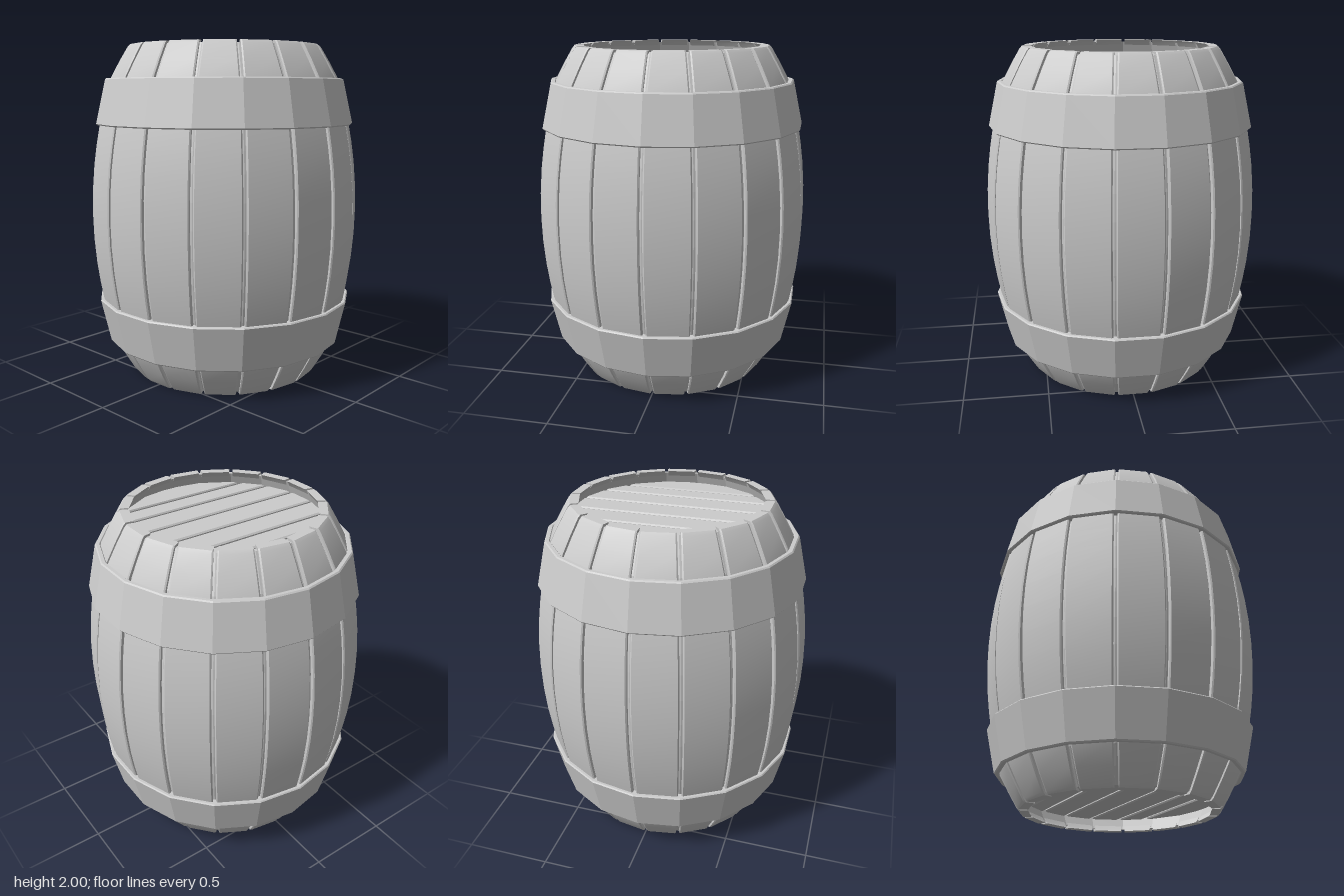
import * as THREE from 'three';
import { toCreasedNormals } from 'three/addons/utils/BufferGeometryUtils.js';

const STAVES = 18;
const HALF = Math.PI / STAVES;
const wood = new THREE.MeshStandardMaterial({ color: 0xcccccc });
const flat = new THREE.MeshStandardMaterial({ color: 0xcccccc, flatShading: true });
const flatOpen = new THREE.MeshStandardMaterial({ color: 0xcccccc, flatShading: true, side: THREE.DoubleSide });

// Bulge of the barrel: [height above the middle, corner radius]
const upper = [[0, 0.824], [0.15, 0.82], [0.3, 0.807], [0.42, 0.79], [0.54, 0.768],
  [0.67, 0.738], [0.8, 0.7], [0.9, 0.645], [0.985, 0.594], [1, 0.58]];
const profile = [...upper.slice(1).reverse().map(([t, r]) => [1 - t, r]),
  ...upper.map(([t, r]) => [1 + t, r])];

// One curved plank: a bevelled cross-section swept up the bulge
function staveGeometry() {
  const gap = 0.011, bevel = 0.007, n = 6;
  const pos = [], index = [];
  for (const [y, r] of profile) {
    const d = r * Math.cos(HALF), inner = d - 0.052;
    const w = d * Math.tan(HALF) - gap, wi = inner * Math.tan(HALF) - gap;
    pos.push(-w, y, d - bevel, -w + bevel, y, d, w - bevel, y, d,
      w, y, d - bevel, wi, y, inner, -wi, y, inner);
  }
  const last = (profile.length - 1) * n;
  for (let j = 0; j < last; j += n) {
    for (let i = 0; i < n; i++) {
      const a = j + i, b = j + (i + 1) % n;
      index.push(a, b, b + n, a, b + n, a + n);
    }
  }
  for (let i = 1; i < n - 1; i++) {
    index.push(last, last + i, last + i + 1, 0, i + 1, i);
  }
  const geo = new THREE.BufferGeometry();
  geo.setAttribute('position', new THREE.Float32BufferAttribute(pos, 3));
  geo.setIndex(index);
  return toCreasedNormals(geo, 0.5);
}

// Faceted ring with its corners on the gaps between staves
function lathe(points, material, name) {
  const pts = points.map(([r, y]) => new THREE.Vector2(r, y));
  const mesh = new THREE.Mesh(new THREE.LatheGeometry(pts, STAVES, HALF, Math.PI * 2), material);
  mesh.name = name;
  return mesh;
}

// Board of the round lid between two x positions, bevelled along its edges
function boardGeometry(x0, x1) {
  const R = 0.59, bevel = 0.008, steps = 6;
  const a = x0 + 0.009 + bevel, b = x1 - 0.009 - bevel;
  const near = [], far = [];
  for (let i = 0; i <= steps; i++) {
    const x = a + (b - a) * i / steps;
    const z = Math.sqrt(Math.max(0.0004, R * R - x * x));
    near.push(new THREE.Vector2(x, -z));
    far.unshift(new THREE.Vector2(x, z));
  }
  const geo = new THREE.ExtrudeGeometry(new THREE.Shape([...near, ...far]), {
    depth: 0.02, bevelEnabled: true, bevelSize: bevel, bevelThickness: bevel, bevelSegments: 1,
  });
  return geo.rotateX(-Math.PI / 2).translate(0, 1.92 - 0.02 - bevel, 0);
}

// Lid and hoop of the upper end
function createEnd(label) {
  const end = new THREE.Group();
  end.name = label + 'End';
  const cuts = [-0.58, -0.396, -0.261, -0.09, 0.09, 0.261, 0.396, 0.58];
  for (let i = 0; i < cuts.length - 1; i++) {
    const board = new THREE.Mesh(boardGeometry(cuts[i], cuts[i + 1]), flat);
    board.name = label + 'LidBoard' + (i + 1);
    end.add(board);
  }
  end.add(lathe([[0.735, 1.53], [0.784, 1.53], [0.79, 1.537], [0.731, 1.795], [0.724, 1.802],
    [0.705, 1.802], [0.685, 1.78], [0.735, 1.53]], flat, label + 'Hoop'));
  return end;
}

export function createModel() {
  const barrel = new THREE.Group();
  barrel.name = 'barrel';

  // Staves all round, a gap on each side
  const geo = staveGeometry();
  const staves = new THREE.Group();
  staves.name = 'staves';
  for (let i = 0; i < STAVES; i++) {
    const stave = new THREE.Mesh(geo, wood);
    stave.name = 'stave' + (i + 1);
    stave.rotation.y = i * 2 * HALF;
    staves.add(stave);
  }
  barrel.add(staves);

  // Core that forms the bottom of the grooves and backs the lids
  const wall = profile.slice(1, -1).map(([y, r]) => [r - 0.025, y]);
  barrel.add(lathe([[0, 0.1], [0.58, 0.1], [0.545, 0.015], ...wall,
    [0.545, 1.985], [0.58, 1.9], [0, 1.9]], flatOpen, 'core'));

  // Matching ends
  const top = createEnd('top');
  const bottom = createEnd('bottom');
  bottom.rotation.z = Math.PI;
  bottom.position.y = 2;
  barrel.add(top, bottom);
  return barrel;
}
